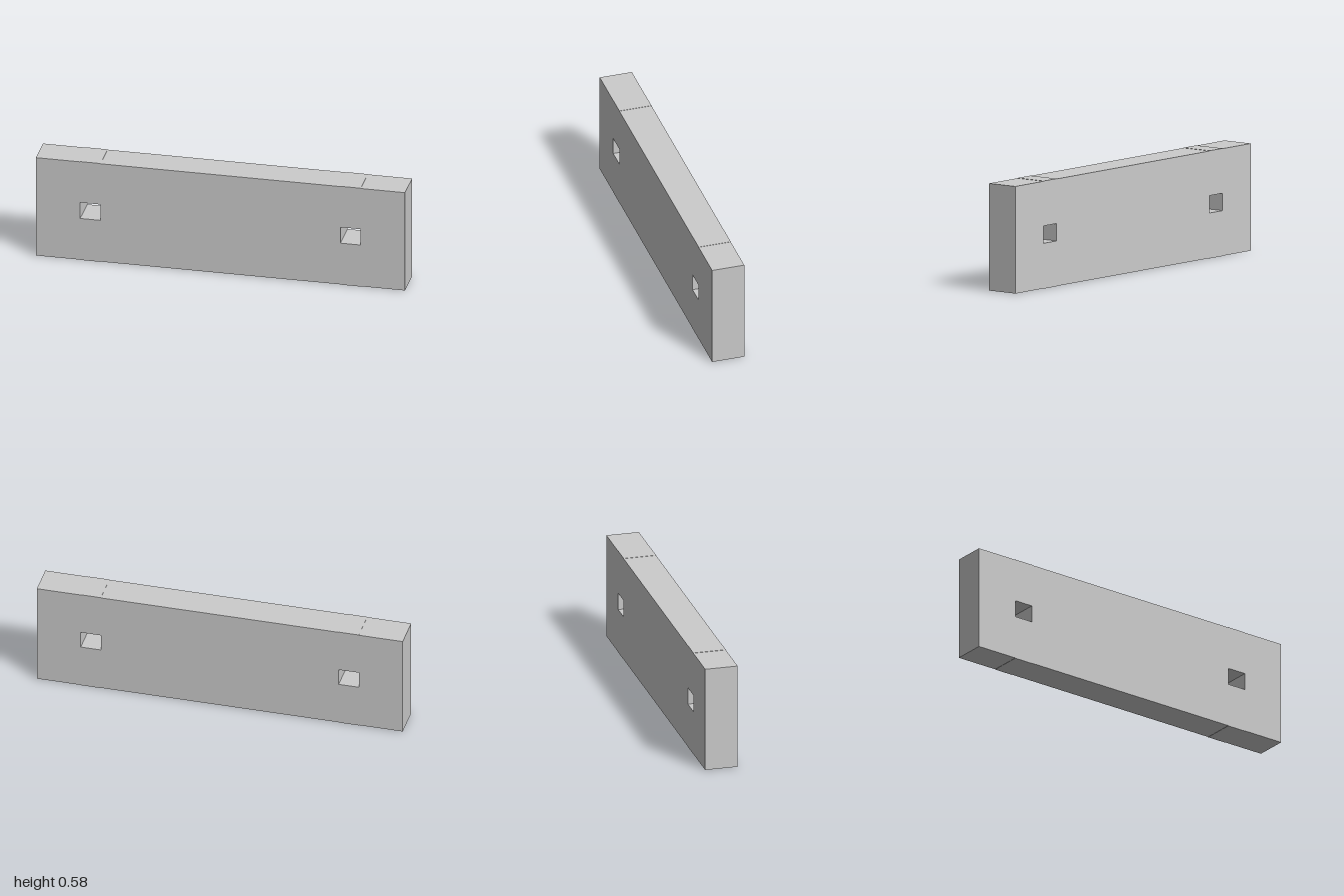
import * as THREE from 'three';

export function createModel() {
  const group = new THREE.Group();
  const material = new THREE.MeshStandardMaterial({ color: 0xcccccc, flatShading: true });
  const height = 0.576, depth = 0.178, lip = 0.0015;
  const slots = [[-0.76, -0.65], [0.65, 0.76]];

  // Plank outline, with barely raised strips in line with the slots
  const outline = [[-1, lip]];
  for (const [a, b] of slots) outline.push([a, lip], [a, 0], [b, 0], [b, lip]);
  outline.push([1, lip], [1, height - lip]);
  for (const [a, b] of [...slots].reverse()) {
    outline.push([b, height - lip], [b, height], [a, height], [a, height - lip]);
  }
  outline.push([-1, height - lip]);
  const toPoints = (list) => list.map(([x, y]) => new THREE.Vector2(x, y));
  const shape = new THREE.Shape(toPoints(outline));

  // Two rectangular through slots
  const y0 = 0.243, y1 = 0.336;
  for (const [a, b] of slots) {
    shape.holes.push(new THREE.Path(toPoints([[a, y0], [a, y1], [b, y1], [b, y0]])));
  }

  const geometry = new THREE.ExtrudeGeometry(shape, { depth, bevelEnabled: false });
  geometry.translate(0, 0, -depth / 2);
  const plank = new THREE.Mesh(geometry, material);
  plank.name = 'slottedPlank';
  group.add(plank);
  return group;
}
